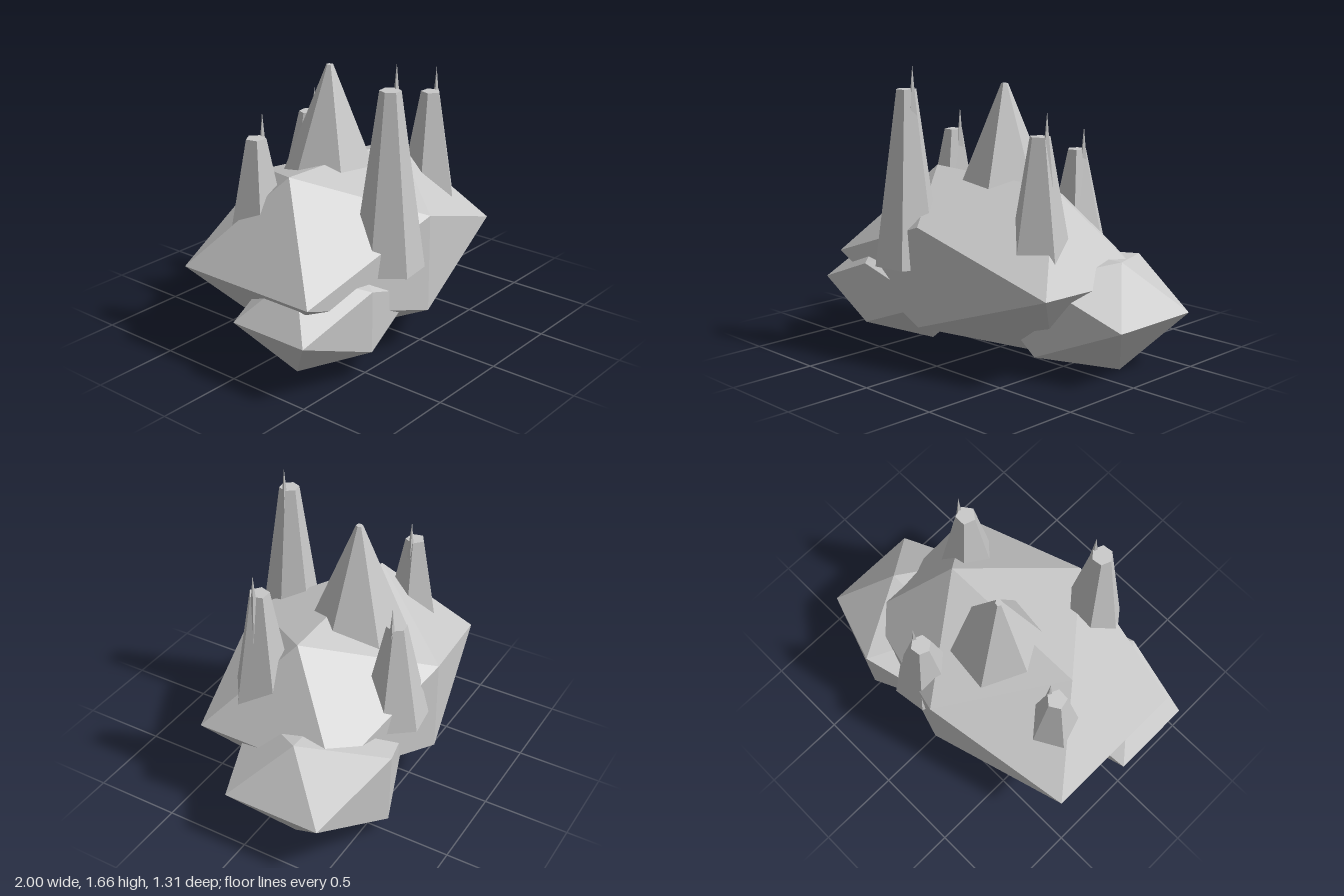
import * as THREE from 'three';
import { ConvexGeometry } from 'three/addons/geometries/ConvexGeometry.js';

const stone = new THREE.MeshStandardMaterial({ color: 0xc8c8c8, flatShading: true });
stone.name = 'pale grey stone';

// Stretched icosahedron: the corners of three crossing rectangles, each [centre, half sizes].
// Nudges move single corners, by index, to make the rock less regular.
function boulder(name, rectangles, nudges) {
  const points = [];
  for (const [centre, half] of rectangles) {
    const spans = half.map((h) => (h ? [-h, h] : [0]));
    for (const x of spans[0]) for (const y of spans[1]) for (const z of spans[2]) {
      points.push(new THREE.Vector3(centre[0] + x, centre[1] + y, centre[2] + z));
    }
  }
  for (const [index, x, y, z] of nudges) points[index].add(new THREE.Vector3(x, y, z));
  const mesh = new THREE.Mesh(new ConvexGeometry(points), stone);
  mesh.name = name;
  return mesh;
}

// Tapered column standing between two heights, turned by an angle in degrees
function column(name, x, z, bottom, top, bottomRadius, topRadius, sides, turn) {
  const geometry = new THREE.CylinderGeometry(topRadius, bottomRadius, top - bottom, sides);
  const mesh = new THREE.Mesh(geometry, stone);
  mesh.name = name;
  mesh.position.set(x, (bottom + top) / 2, z);
  mesh.rotation.y = THREE.MathUtils.degToRad(turn);
  return mesh;
}

// Flat-topped spire with a thin spike on its left edge
function spire(name, x, z, bottom, top, bottomRadius, sides, turn) {
  const group = new THREE.Group();
  group.name = name;
  group.add(column('spireShaft', x, z, bottom, top, bottomRadius, 0.058, sides, turn));
  group.add(column('spireSpike', x + 0.052, z, top - 0.27, top + 0.136, 0.038, 0, 4, 20));
  return group;
}

export function createModel() {
  const model = new THREE.Group();
  model.name = 'rockOutcrop';

  // Three boulders pushed into each other
  model.add(
    boulder('mainBoulder', [
      [[-0.06, 0.525, 0], [0.475, 0.482, 0]],
      [[-0.05, 0.515, -0.022], [0, 0.282, 0.61]],
      [[-0.075, 0.505, 0.003], [0.837, 0, 0.443]],
    ], [[1, 0, 0.012, 0], [2, 0, 0.01, 0], [3, 0, -0.012, 0], [9, 0, 0, 0.008], [10, -0.027, -0.025, 0.03], [11, 0, 0, -0.016]]),
    boulder('leftBoulder', [
      [[0.505, 0.305, -0.18], [0.25, 0.305, 0]],
      [[0.505, 0.325, -0.2], [0, 0.215, 0.443]],
      [[0.51, 0.318, -0.18], [0.49, 0, 0.29]],
    ], [[0, 0, 0.015, 0], [4, 0, -0.01, 0.01]]),
    boulder('rightBoulder', [
      [[-0.54, 0.325, 0.25], [0.23, 0.285, 0]],
      [[-0.53, 0.335, 0.25], [0, 0.175, 0.322]],
      [[-0.53, 0.337, 0.253], [0.468, 0, 0.244]],
    ], [[0, 0, -0.006, 0], [2, 0, 0.005, 0]]),
  );

  // Central peak
  model.add(column('centralPeak', -0.07, -0.104, 0.8, 1.533, 0.317, 0.02, 6, 24));

  // Spires around the peak
  model.add(
    spire('frontRightSpire', -0.262, 0.469, 0.54, 1.527, 0.197, 6, 38),
    spire('frontLeftSpire', 0.485, 0.19, 0.6, 1.31, 0.188, 5, 0),
    spire('backRightSpire', -0.587, -0.187, 0.65, 1.215, 0.172, 5, 31),
    spire('backLeftSpire', 0.163, -0.471, 0.54, 1.14, 0.197, 6, 38),
  );
  return model;
}
